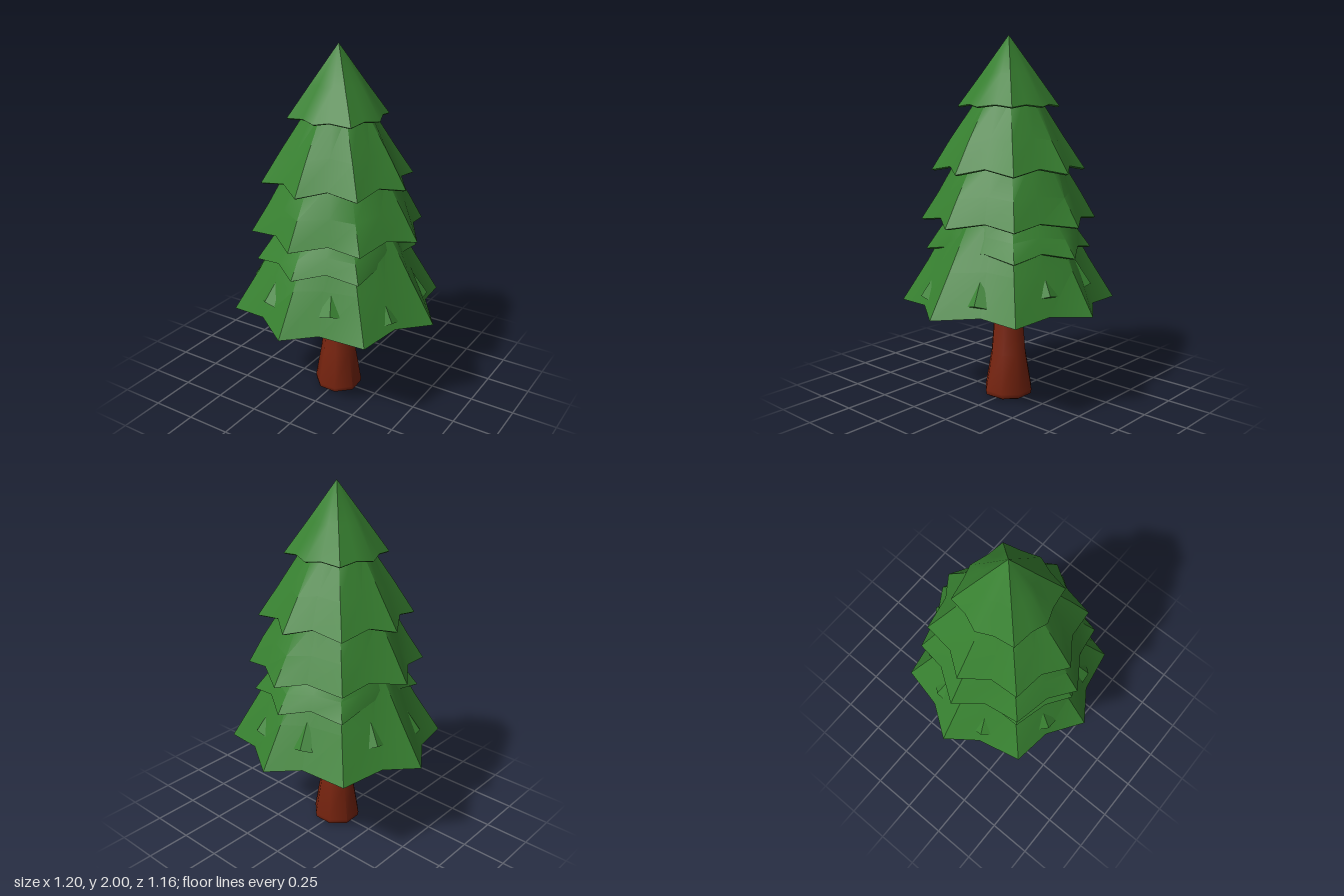
import * as THREE from 'three';
import { toCreasedNormals } from 'three/addons/utils/BufferGeometryUtils.js';

const SIDES = 16; // eight branch tips with a valley between each pair

const needles = new THREE.MeshStandardMaterial({ color: 0x378030 });
needles.name = 'needleGreen';
const bark = new THREE.MeshStandardMaterial({ color: 0x78240f });
bark.name = 'barkBrown';

// Small repeatable variation in -1..1
function vary(i, seed) {
  const s = Math.sin(i * 12.9898 + seed * 78.233) * 43758.5453;
  return (s - Math.floor(s)) * 2 - 1;
}

// Skin a stack of closed rings; ring(k, i) gives a point, rings run downwards
function loft(rings, sides, ring, crease) {
  const positions = [], index = [];
  for (let k = 0; k < rings; k++)
    for (let i = 0; i < sides; i++) positions.push(...ring(k, i));
  for (let k = 0; k < rings - 1; k++)
    for (let i = 0; i < sides; i++) {
      const j = (i + 1) % sides;
      const a = k * sides + i, b = k * sides + j;
      const c = a + sides, d = b + sides;
      index.push(a, c, b, b, c, d);
    }
  const geometry = new THREE.BufferGeometry();
  geometry.setAttribute('position', new THREE.Float32BufferAttribute(positions, 3));
  geometry.setIndex(index);
  return toCreasedNormals(geometry, crease);
}

// Tiers from the crown down: tips are radii along x, the diagonals and z
const tiers = [
  { name: 'crownTier', top: 2.0, topR: 0.0, hem: 1.625, tips: [0.25, 0.275, 0.24], valley: 0.88, rise: 0.012, inner: 0.17 },
  { name: 'upperTier', top: 1.66, topR: 0.17, hem: 1.285, tips: [0.41, 0.42, 0.41], valley: 0.83, rise: 0.03, inner: 0.27 },
  { name: 'middleTier', top: 1.34, topR: 0.28, hem: 1.015, tips: [0.485, 0.48, 0.48], valley: 0.85, rise: 0.03, inner: 0.32 },
  { name: 'lowerTier', top: 1.06, topR: 0.3, hem: 0.85, tips: [0.38, 0.455, 0.46], valley: 0.87, rise: 0.035, inner: 0.36 },
  { name: 'skirtTier', top: 1.06, topR: 0.29, hem: 0.56, tips: [0.6, 0.59, 0.58], valley: 0.84, rise: 0.02, inner: 0.1 },
];

function tierGeometry(t, seed) {
  const hemRadius = (i) => {
    const tip = (n) => t.tips[n % 2 ? 1 : n % 4 === 0 ? 0 : 2];
    if (i % 2 === 0) return tip(i / 2);
    return t.valley * (tip((i - 1) / 2) + tip((i + 1) / 2)) / 2 * (1 + 0.015 * vary(i, seed));
  };
  const skirt = t.name === 'skirtTier';
  const ring = (k, i) => {
    const r = hemRadius(i);
    const lift = i % 2 ? t.rise : 0;
    const a = i / SIDES * Math.PI * 2 + (i % 2 ? 0.05 * vary(i, seed + 3) : 0);
    const hemY = t.hem + lift;
    // top ring, fold ring, hem edge, underside lip, recessed underside
    const profile = [
      [t.topR * (t.topR ? 1 + 0.3 * (r / t.tips[1] - 0.95) : 1), t.top],
      [THREE.MathUtils.lerp(t.topR, r, 0.55) * (1 + 0.025 * vary(i, seed + 7)), THREE.MathUtils.lerp(t.top, hemY, 0.55)],
      [r, hemY],
      [r * 0.96, hemY - (skirt ? 0.0 : 0.006)],
      [t.inner, skirt ? 0.72 : t.hem + 0.05],
      [0, skirt ? 0.74 : t.hem + 0.06],
    ];
    const [radius, y] = profile[k];
    return [Math.cos(a) * radius, y, Math.sin(-a) * radius];
  };
  return loft(6, SIDES, ring, 0.62);
}

// Flared trunk, bevelled at the foot and closed at both ends
function trunkGeometry() {
  const profile = [[0, 0.78], [0.06, 0.78], [0.073, 0.57], [0.098, 0.25], [0.134, 0.035], [0.13, 0.012], [0.11, 0], [0, 0]];
  const sides = 8;
  return loft(profile.length, sides, (k, i) => {
    const a = (i + 0.5) / sides * Math.PI * 2;
    const r = profile[k][0] * (1.04 + 0.03 * vary(i, 5));
    return [Math.cos(a) * r, profile[k][1], -Math.sin(a) * r];
  }, 0.9);
}

// Small leafy tufts that break up the slope of the lower branches
function tuftGeometry() {
  const g = new THREE.ConeGeometry(0.06, 0.2, 4, 1);
  g.scale(1, 1, 0.45);
  return toCreasedNormals(g, 0.3);
}

export function createModel() {
  const tree = new THREE.Group();
  tree.name = 'pineTree';
  const add = (geometry, material, name) => {
    const mesh = new THREE.Mesh(geometry, material);
    mesh.name = name;
    tree.add(mesh);
    return mesh;
  };

  add(trunkGeometry(), bark, 'trunk');
  tiers.forEach((t, n) => add(tierGeometry(t, n + 1), needles, t.name));

  const tuft = tuftGeometry();
  for (let i = 0; i < 8; i++) {
    const holder = new THREE.Group();
    holder.name = 'tuftHolder';
    holder.rotation.y = (i + 0.5 + 0.12 * vary(i, 9)) / 8 * Math.PI * 2;
    const mesh = new THREE.Mesh(tuft, needles);
    mesh.name = 'branchTuft';
    mesh.position.set(0, 0.74 + 0.04 * vary(i, 11), 0.42 - 0.02 * vary(i, 11));
    mesh.rotation.x = -0.5;
    holder.add(mesh);
    tree.add(holder);
  }
  return tree;
}
